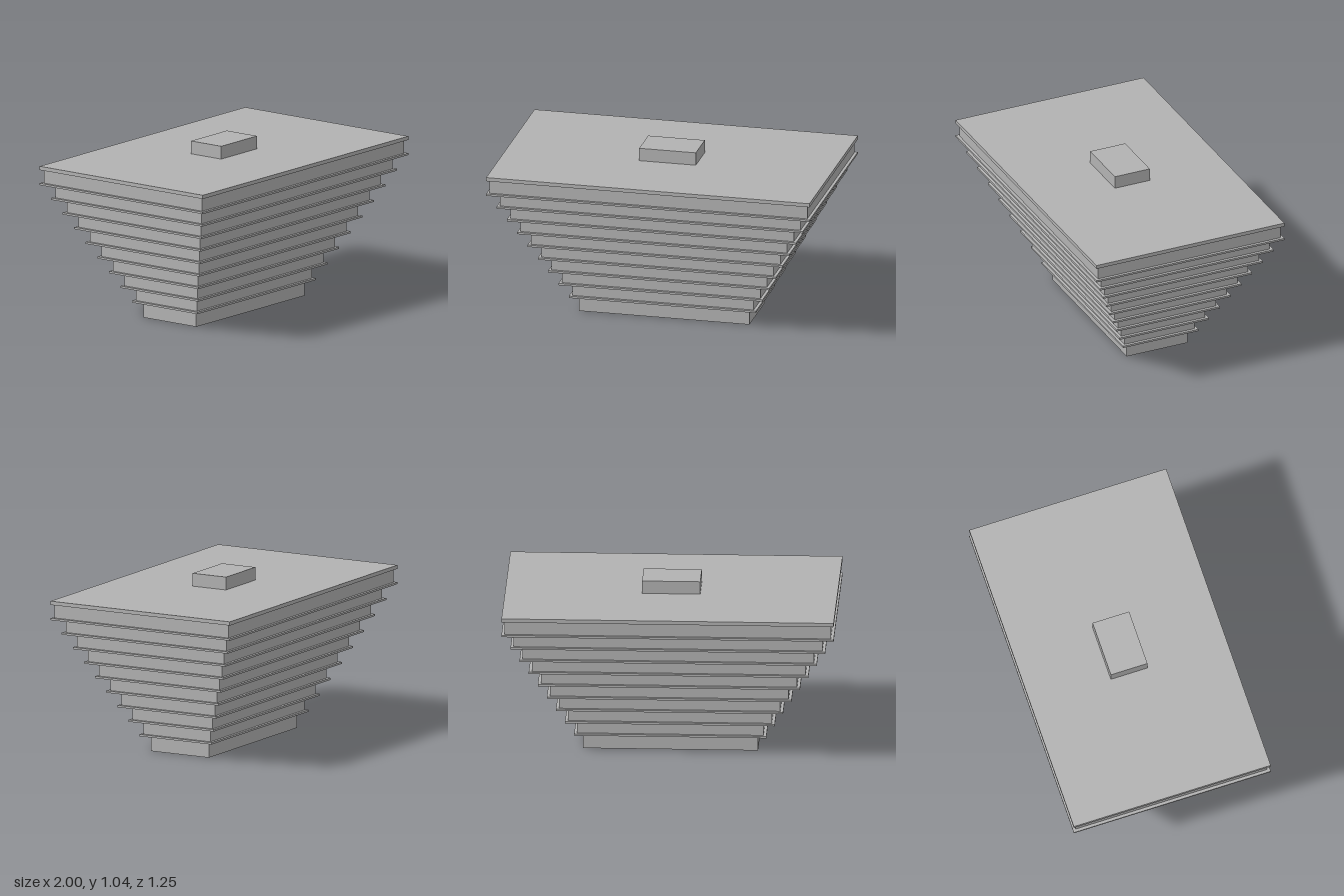
import * as THREE from 'three';

export function createModel() {
  const model = new THREE.Group();
  const concrete = new THREE.MeshStandardMaterial({ color: 0xb2b2b2, side: THREE.DoubleSide });
  concrete.name = 'concrete grey';

  // Box given by half width, half depth, bottom and top
  function block(name, hx, hz, y0, y1) {
    const mesh = new THREE.Mesh(new THREE.BoxGeometry(hx * 2, y1 - y0, hz * 2), concrete);
    mesh.name = name;
    mesh.position.y = (y0 + y1) / 2;
    model.add(mesh);
    return mesh;
  }

  const upperFloors = 9;
  const pitch = 0.0935;
  const slabThickness = 0.012;
  const roofBottom = 0.936;
  const roofTop = 0.959;
  const slabBottom = (i) => 0.0945 + i * pitch;

  // Ground floor: thin walls, open underneath
  const ground = block('groundFloorWalls', 0.527, 0.202, 0, slabBottom(0));
  const index = Array.from(ground.geometry.index.array);
  index.splice(12, 12); // drop the top and bottom faces
  ground.geometry.setIndex(index);
  ground.geometry.clearGroups();

  // Upper floors widen step by step, each standing on a projecting slab
  for (let i = 0; i < upperFloors; i++) {
    const hx = 0.982 - (upperFloors - 1 - i) * 0.0527;
    const hz = 0.606 - (upperFloors - 1 - i) * 0.0467;
    const y = slabBottom(i);
    const top = i === upperFloors - 1 ? roofBottom : slabBottom(i + 1);
    block('floorSlab' + (i + 1), hx + 0.018, hz + 0.018, y, y + slabThickness);
    block('floorWalls' + (i + 1), hx, hz, y + slabThickness, top);
  }

  // Flat roof and its plant room
  block('roofSlab', 1, 0.624, roofBottom, roofTop);
  block('roofPlantRoom', 0.175, 0.116, roofTop, 1.038);

  return model;
}
